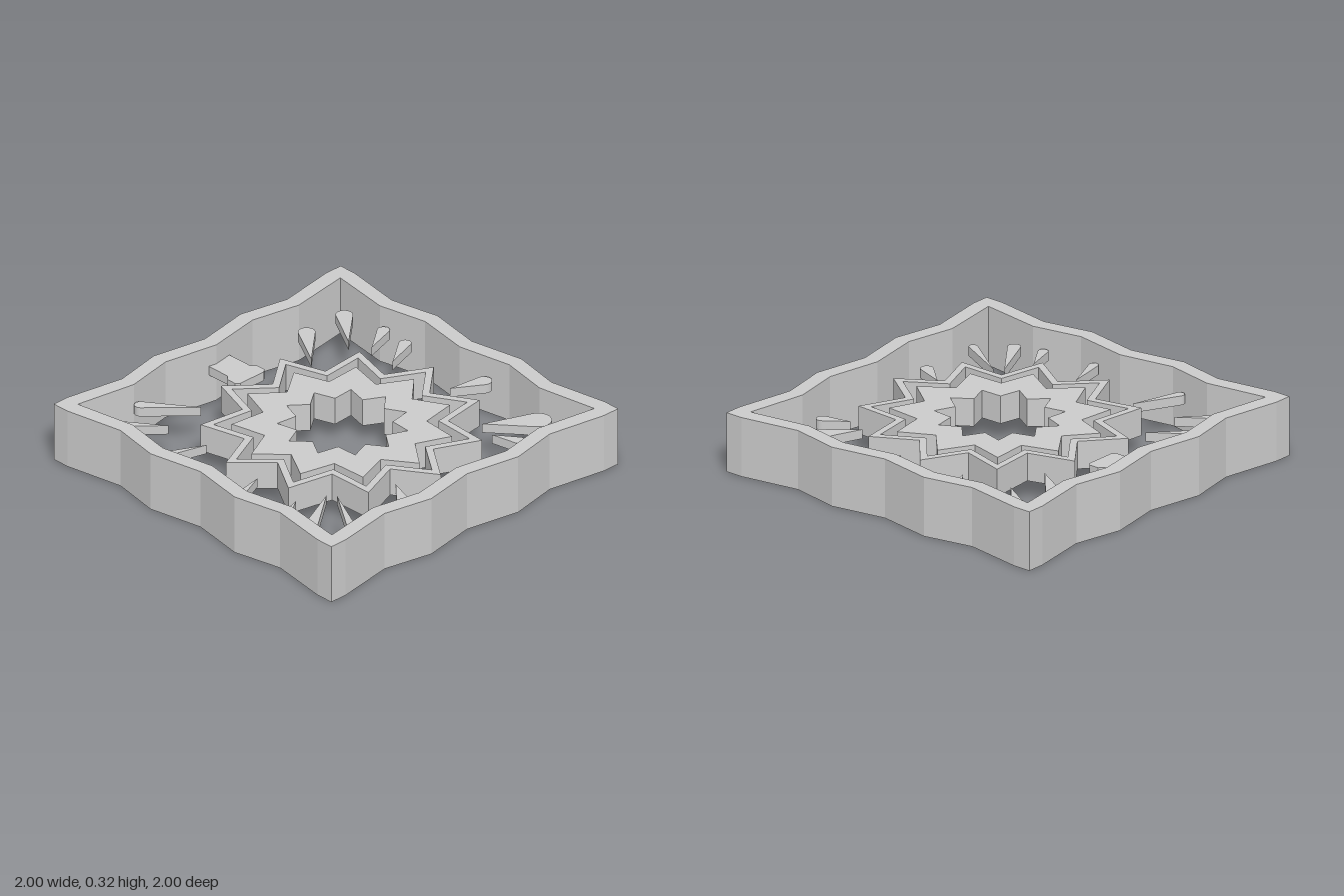
import * as THREE from 'three';

const material = new THREE.MeshStandardMaterial({ color: 0xcccccc, flatShading: true });
const toVectors = (pts) => pts.map(([x, z]) => new THREE.Vector2(x, z));

// Flat plate: an outline in (x, z) with an optional hole, spanning y0 to y1
function plate(name, outline, hole, y0, y1) {
  const shape = new THREE.Shape(toVectors(outline));
  if (hole) shape.holes.push(new THREE.Path(toVectors(hole)));
  const geometry = new THREE.ExtrudeGeometry(shape, { depth: y1 - y0, bevelEnabled: false });
  geometry.rotateX(Math.PI / 2);
  geometry.translate(0, y1, 0);
  const mesh = new THREE.Mesh(geometry, material);
  mesh.name = name;
  return mesh;
}

// Eleven-pointed star outline
function star(tipRadius, valleyRadius) {
  const pts = [];
  for (let i = 0; i < 22; i++) {
    const a = THREE.MathUtils.degToRad(91.3) + (i * Math.PI) / 11;
    const r = i % 2 ? valleyRadius : tipRadius;
    pts.push([r * Math.cos(a), 0.055 + r * Math.sin(a)]);
  }
  return pts;
}

// Zigzag square: one side turned through four quarter turns
function zigzagSquare(side) {
  const pts = [];
  for (let k = 0; k < 4; k++) {
    for (const [x, z] of side) {
      pts.push([[x, z], [-z, x], [-x, -z], [z, -x]][k]);
    }
  }
  return pts;
}

// Teardrop: round end at (cx, cz), point at (tx, tz)
function teardrop(tx, tz, cx, cz, r) {
  const dir = Math.atan2(tz - cz, tx - cx);
  const tangent = Math.acos(r / Math.hypot(tx - cx, tz - cz));
  const pts = [[tx, tz]];
  const n = 14;
  for (let i = 0; i <= n; i++) {
    const a = dir + tangent + ((2 * Math.PI - 2 * tangent) * i) / n;
    pts.push([cx + r * Math.cos(a), cz + r * Math.sin(a)]);
  }
  return pts;
}

export function createModel() {
  const group = new THREE.Group();
  group.name = 'starPanel';

  // Wavy outer frame
  const outerSide = [[-1, -1], [-0.9, -1], [-0.575, -0.945], [-0.303, -1], [0, -0.945],
    [0.303, -1], [0.575, -0.945], [0.9, -1]];
  const innerSide = [[-0.915, -0.915], [-0.575, -0.862], [-0.303, -0.915], [0, -0.862],
    [0.303, -0.915], [0.575, -0.862]];
  group.add(plate('frame', zigzagSquare(outerSide), zigzagSquare(innerSide), 0, 0.32));

  // Star ring and the broad star inside it
  group.add(plate('starRing', star(0.717, 0.524), star(0.652, 0.476), 0.1, 0.25));
  group.add(plate('innerStar', star(0.561, 0.417), star(0.333, 0.246), 0.1, 0.25));

  // Tab hanging from the back of the frame
  group.add(plate('tab', [[-0.045, -0.88], [0.11, -0.88], [0.11, -0.735], [0.135, -0.71],
    [0.135, -0.655], [0.115, -0.638], [-0.05, -0.638], [-0.07, -0.655], [-0.07, -0.71],
    [-0.045, -0.735]], null, 0.16, 0.21));

  // Teardrops: point x, z, round end x, z, radius
  const drops = [
    [-0.61, -0.575, -0.815, -0.805, 0.034], [-0.365, -0.595, -0.565, -0.825, 0.032],
    [0.37, -0.56, 0.543, -0.773, 0.044], [0.625, -0.555, 0.8, -0.767, 0.044],
    [0.67, -0.435, 0.834, -0.52, 0.032], [0.647, -0.26, 0.82, -0.35, 0.032],
    [0.663, 0.136, 0.84, 0.197, 0.042], [0.53, 0.505, 0.76, 0.67, 0.07],
    [0.49, 0.618, 0.55, 0.753, 0.033], [-0.203, 0.64, -0.29, 0.785, 0.034],
    [-0.497, 0.522, -0.66, 0.797, 0.023], [-0.53, 0.48, -0.793, 0.64, 0.034],
    [-0.68, 0.415, -0.84, 0.49, 0.027], [-0.658, 0.116, -0.868, 0.18, 0.025],
    [-0.61, -0.302, -0.857, -0.397, 0.026],
  ];
  const dropGroup = new THREE.Group();
  dropGroup.name = 'teardrops';
  for (const d of drops) dropGroup.add(plate('teardrop', teardrop(...d), null, 0.165, 0.215));
  group.add(dropGroup);

  return group;
}
